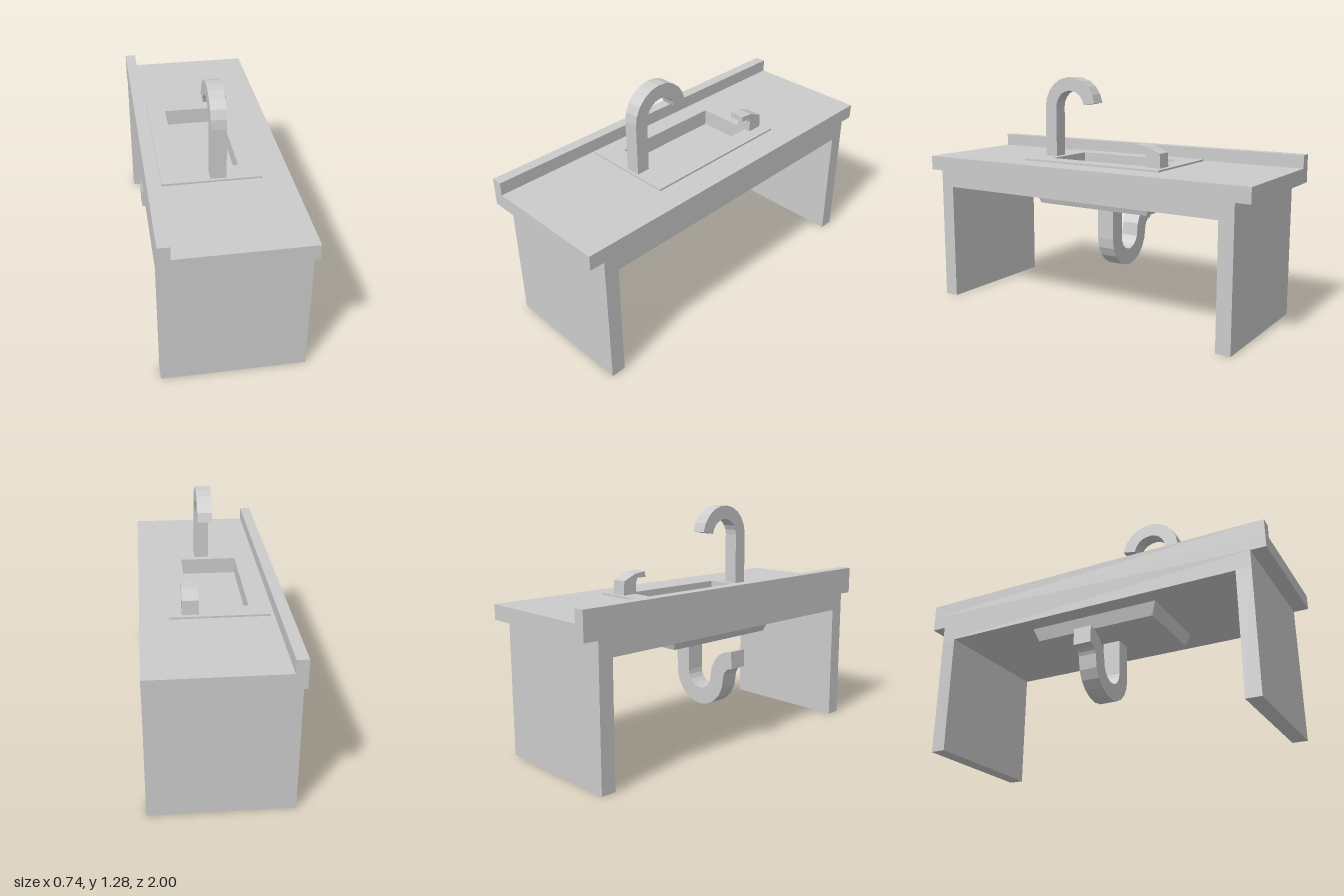
import * as THREE from 'three';

const material = new THREE.MeshStandardMaterial({ color: 0xcccccc, flatShading: true });

export function createModel() {
  const model = new THREE.Group();

  const add = (name, geometry) => {
    const mesh = new THREE.Mesh(geometry, material);
    mesh.name = name;
    model.add(mesh);
    return mesh;
  };

  // Box given by its minimum and maximum corners
  const box = (name, [x0, y0, z0], [x1, y1, z1]) =>
    add(name, new THREE.BoxGeometry(x1 - x0, y1 - y0, z1 - z0)
      .translate((x0 + x1) / 2, (y0 + y1) / 2, (z0 + z1) / 2));

  const rectangle = (Type, x0, z0, x1, z1) => new Type([
    [x0, -z0], [x0, -z1], [x1, -z1], [x1, -z0],
  ].map(p => new THREE.Vector2(...p)));

  // Horizontal slab pierced by the sink opening
  const slab = (name, x0, z0, x1, z1, y0, y1) => {
    const shape = rectangle(THREE.Shape, x0, z0, x1, z1);
    shape.holes.push(rectangle(THREE.Path, -0.19, -0.33, 0.12, 0.3));
    add(name, new THREE.ExtrudeGeometry(shape, { depth: y1 - y0, bevelEnabled: false })
      .rotateX(-Math.PI / 2).translate(0, y0, 0));
  };

  // Extruded outline, centred on its own depth
  const extrude = (points, depth) => new THREE.ExtrudeGeometry(
    new THREE.Shape(points), { depth, bevelEnabled: false }).translate(0, 0, -depth / 2);

  // Points along an arc, angles in degrees
  const arc = (cx, cy, r, from, to, steps) =>
    Array.from({ length: steps + 1 }, (_, i) => {
      const a = THREE.MathUtils.degToRad(from + (to - from) * i / steps);
      return new THREE.Vector2(cx + r * Math.cos(a), cy + r * Math.sin(a));
    });

  // Worktop, apron (its top is the sink floor) and splashback
  slab('worktop', -0.37, -1, 0.37, 1, 0.74, 0.82);
  box('apron', [-0.37, 0.65, -0.92], [0.37, 0.74, 0.92]);
  box('splashback', [-0.37, 0.82, -1], [-0.31, 0.89, 1]);

  // End panels
  for (const side of [-1, 1]) {
    box(side > 0 ? 'frontPanel' : 'backPanel', [-0.37, 0, side * 0.88 - 0.04], [0.37, 0.65, side * 0.88 + 0.04]);
  }

  // Sink rim
  slab('sinkRim', -0.29, -0.435, 0.22, 0.425, 0.82, 0.83);

  // Tapered underside of the basin
  const basin = new THREE.BoxGeometry(0.47, 0.07, 0.74);
  const pos = basin.attributes.position;
  for (let i = 0; i < pos.count; i++) {
    if (pos.getY(i) < 0) {
      pos.setX(i, pos.getX(i) * 0.91);
      pos.setZ(i, pos.getZ(i) * 0.93);
    }
  }
  basin.computeVertexNormals();
  add('basinUnderside', basin.translate(-0.035, 0.615, 0));

  // Faucet: square stem with a hooked spout
  const spout = [
    new THREE.Vector2(0.41, 0.83),
    ...arc(0.24, 1.11, 0.17, 0, 170, 10),
    ...arc(0.24, 1.11, 0.095, 170, 0, 10),
    new THREE.Vector2(0.335, 0.83),
  ];
  add('faucet', extrude(spout, 0.08).rotateY(-Math.PI / 2));

  // Lever handle
  const lever = [
    [-0.325, 0.83], [-0.325, 0.89], [-0.315, 0.915], [-0.26, 0.915],
    [-0.26, 0.945], [-0.33, 0.938], [-0.405, 0.905], [-0.41, 0.83],
  ].map(p => new THREE.Vector2(...p));
  add('handle', extrude(lever, 0.085).rotateY(-Math.PI / 2)).position.x = 0.1125;

  // Drain trap: down, round a U-bend, then out through the back
  const half = 0.046;
  const trapSide = s => [
    new THREE.Vector2(-0.005 + s * half, 0.59),
    ...arc(-0.135, 0.385, 0.13 + s * half, 0, -180, 10),
    ...arc(-0.373, 0.385, 0.108 - s * half, 0, 88, 5),
  ];
  add('drainTrap', extrude([...trapSide(1), ...trapSide(-1).reverse()], 0.1));

  return model;
}
